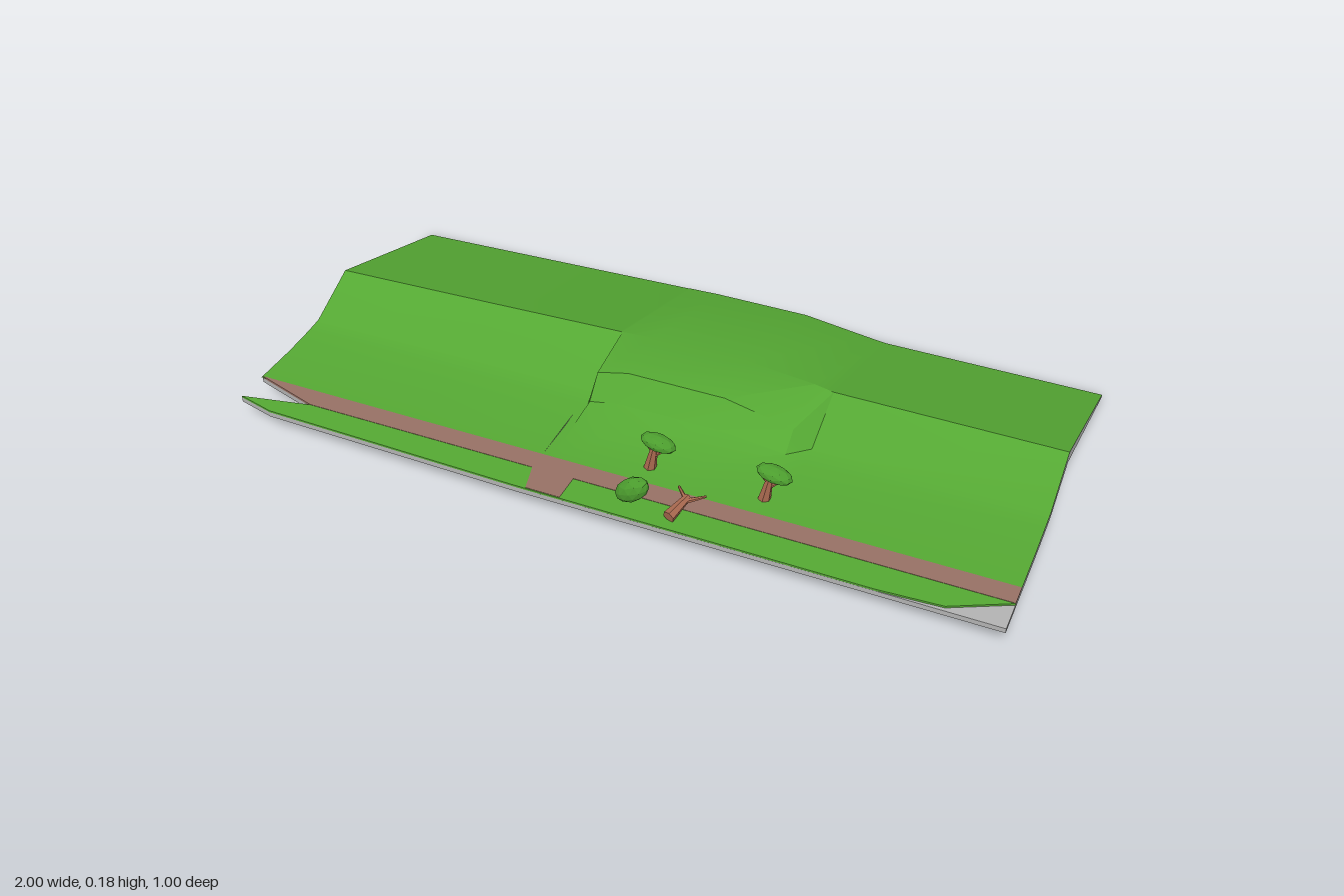
import * as THREE from 'three';
import { toCreasedNormals } from 'three/addons/utils/BufferGeometryUtils.js';

const mat = (name, color, extra = {}) => {
  const m = new THREE.MeshStandardMaterial({ color, ...extra });
  m.name = name;
  return m;
};

export function createModel() {
  const model = new THREE.Group();
  const grass = mat('grass green', 0x55a833, { side: THREE.DoubleSide });
  const leaf = mat('leaf green', 0x4c9d2e, { flatShading: true });
  const dirt = mat('dirt brown', 0x967064, { side: THREE.DoubleSide });
  const bark = mat('bark brown', 0xa9694f, { flatShading: true });
  const stone = mat('stone grey', 0xb2b2b2, { side: THREE.DoubleSide });

  const add = (name, geometry, material, parent = model) => {
    const mesh = new THREE.Mesh(geometry, material);
    mesh.name = name;
    parent.add(mesh);
    return mesh;
  };

  // surface lofted through rows of points
  const loft = (rows) => {
    const n = rows[0].length, index = [];
    for (let i = 0; i < rows.length - 1; i++) {
      for (let j = 0; j < n - 1; j++) {
        const a = i * n + j, b = a + n;
        index.push(a, a + 1, b, b, a + 1, b + 1);
      }
    }
    const g = new THREE.BufferGeometry();
    g.setAttribute('position', new THREE.Float32BufferAttribute(rows.flat(2), 3));
    g.setIndex(index);
    return toCreasedNormals(g, 0.5);
  };

  // hillside: one height profile per x station, running from back to front
  const depths = [-0.5, -0.05, 0.1, 0.15, 0.24, 0.37];
  const stations = [
    [-1, 0.008, 0.148, 0.078, 0.073, 0.068, 0.068],
    [-0.55, 0.022, 0.161, 0.08, 0.074, 0.068, 0.068],
    [-0.171, 0.034, 0.173, 0.086, 0.076, 0.068, 0.068],
    [-0.165, 0.035, 0.173, 0.145, 0.088, 0.068, 0.068],
    [-0.08, 0.038, 0.179, 0.166, 0.104, 0.068, 0.068],
    [0.18, 0.038, 0.179, 0.166, 0.104, 0.068, 0.068],
    [0.36, 0.014, 0.16, 0.125, 0.084, 0.068, 0.068],
    [0.41, 0.008, 0.15, 0.08, 0.073, 0.068, 0.068],
    [1, 0.008, 0.148, 0.078, 0.073, 0.068, 0.068],
  ];
  const rows = stations.map(([x, ...h]) => h.map((y, i) => [x, y, depths[i]]));
  add('hillside', loft(rows), grass);

  // vertical skirt hanging from a line of points down to given heights
  const skirt = (name, top, bottoms) =>
    add(name, loft([top, top.map(([x, , z], i) => [x, bottoms[i], z])]), stone);
  skirt('endSkirt', rows[8], [0, 0.118, 0.057, 0.054, 0.05, 0.05]);
  skirt('backSkirt', [[-0.72, 0.016, -0.5], [-0.25, 0.031, -0.5], [-0.1, 0.037, -0.5]],
    [0.006, 0, 0.034]);
  skirt('crossRib', [[-0.19, 0.068, 0.365], [-0.19, 0.073, 0.15], [-0.19, 0.085, 0.1], [-0.19, 0.13, 0.02]],
    [0.054, 0.06, 0.07, 0.115]);
  skirt('longRib', [[0.35, 0.068, 0.3], [0.95, 0.068, 0.3]], [0.06, 0.06]);

  // flat plates outlined in x, z
  const plate = (name, pts, y, h, material) => {
    const shape = new THREE.Shape(pts.map(([x, z]) => new THREE.Vector2(x, -z)));
    const g = new THREE.ExtrudeGeometry(shape, { depth: h, bevelEnabled: false });
    add(name, g.rotateX(-Math.PI / 2).translate(0, y, 0), material);
  };
  plate('frontSlab', [[-1, 0.365], [1, 0.365], [1, 0.5], [-0.2, 0.497], [-0.9, 0.482],
    [-1, 0.457], [-0.82, 0.42]], 0.05, 0.013, stone);
  plate('path', [[-1, 0.365], [1, 0.365], [1, 0.42], [-0.82, 0.42]], 0.063, 0.006, dirt);
  plate('frontVerge', [[-0.82, 0.42], [1, 0.42], [0.86, 0.49], [0.7, 0.499], [-0.2, 0.497],
    [-0.9, 0.482], [-1, 0.457]], 0.063, 0.005, grass);
  plate('sidePath', [[-0.19, 0.42], [-0.08, 0.42], [-0.08, 0.495], [-0.17, 0.495]], 0.067, 0.002, dirt);

  // tapered limb between two points
  const limb = (name, from, to, r0, r1, parent) => {
    const a = new THREE.Vector3(...from), b = new THREE.Vector3(...to), d = b.clone().sub(a);
    const m = add(name, new THREE.CylinderGeometry(r1, r0, d.length(), 6), bark, parent);
    m.position.copy(a).addScaledVector(d, 0.5);
    m.quaternion.setFromUnitVectors(new THREE.Vector3(0, 1, 0), d.normalize());
  };
  const crown = (pos, scale, tilt, parent) => {
    const m = add('crown', new THREE.IcosahedronGeometry(1, 1), leaf, parent);
    m.position.set(...pos);
    m.scale.set(...scale);
    m.rotation.z = tilt;
  };

  // two standing trees
  for (const x of [0.07, 0.365]) {
    const tree = new THREE.Group();
    tree.name = 'tree';
    tree.position.set(x, 0.066, 0.305);
    limb('trunk', [0, 0, 0], [0.013, 0.072, 0], 0.016, 0.008, tree);
    limb('branch', [0.01, 0.04, 0], [0.042, 0.066, -0.006], 0.006, 0.003, tree);
    limb('branch', [0.01, 0.05, 0], [-0.01, 0.08, 0.006], 0.005, 0.003, tree);
    crown([0.025, 0.088, 0.006], [0.046, 0.02, 0.026], -0.2, tree);
    model.add(tree);
  }

  // fallen trunk with its crown lying apart
  const fallen = new THREE.Group();
  fallen.name = 'fallenTree';
  limb('trunk', [0.19, 0.08, 0.47], [0.21, 0.094, 0.4], 0.016, 0.009, fallen);
  limb('branch', [0.207, 0.09, 0.415], [0.25, 0.096, 0.385], 0.007, 0.003, fallen);
  limb('branch', [0.208, 0.092, 0.41], [0.18, 0.105, 0.385], 0.006, 0.003, fallen);
  crown([0.1, 0.136, 0.474], [0.05, 0.03, 0.024], 0.7, fallen);
  model.add(fallen);

  return model;
}
